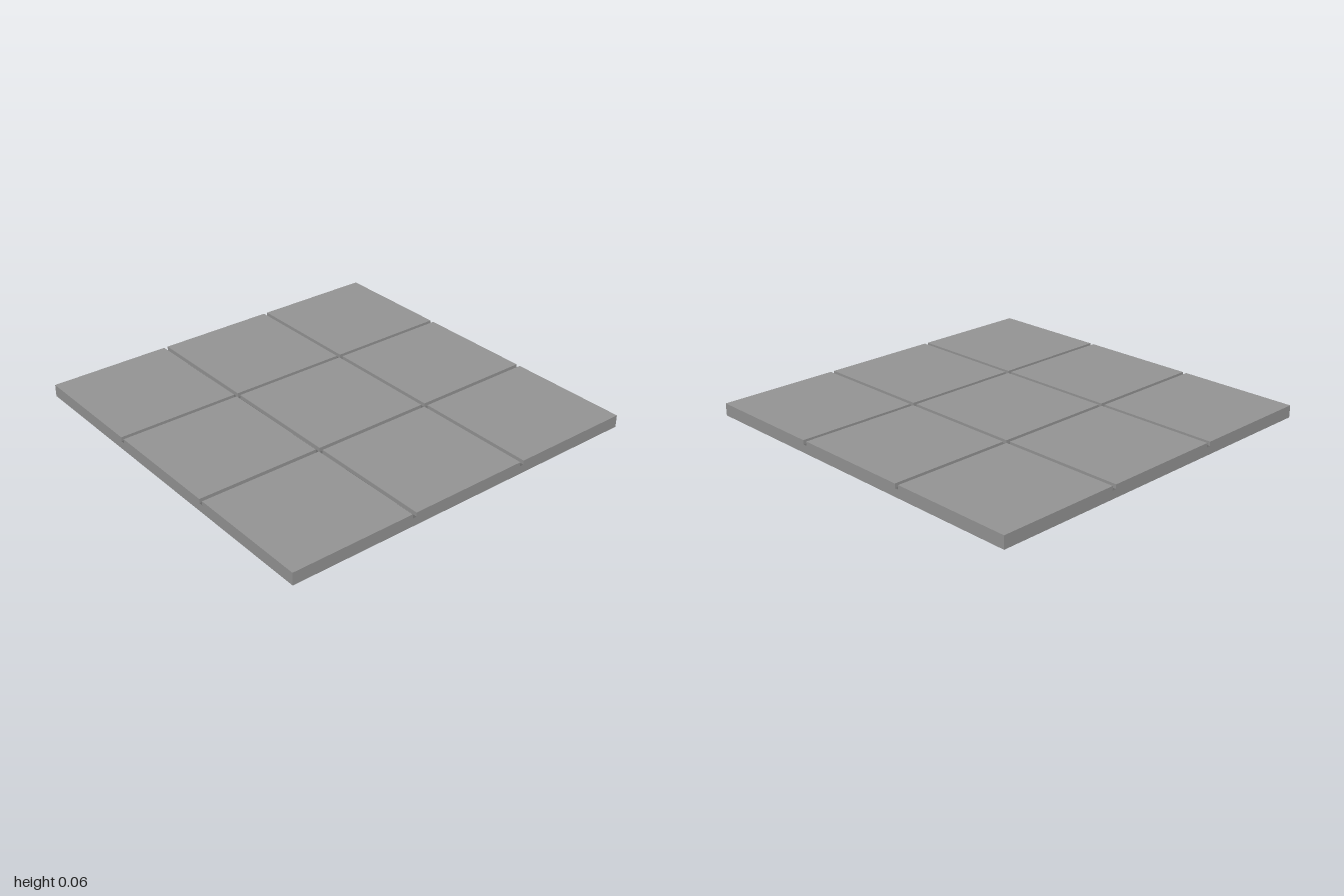
import * as THREE from 'three';

const HEIGHT = 0.065, GROOVE_FLOOR = 0.043;
const CENTRE = 1 / 3, HALF = 0.011;

// Grid lines along each axis; doubled lines make the upright groove walls
const A = CENTRE - HALF, B = CENTRE + HALF;
const LINES = [-1, -B, -B, -A, -A, A, A, B, B, 1];
const IN_GROOVE = new Set([2, 3, 6, 7]);

function partMesh(name, points, color) {
  const geometry = new THREE.BufferGeometry().setFromPoints(points);
  geometry.computeVertexNormals();
  const mesh = new THREE.Mesh(geometry, new THREE.MeshStandardMaterial({ color, flatShading: true }));
  mesh.name = name;
  return mesh;
}

export function createModel() {
  const group = new THREE.Group();
  group.name = 'tiledSlab';

  // One closed slab: snap the box grid to the lines and sink the groove vertices
  const p = new THREE.BoxGeometry(2, 2, 2, 9, 1, 9).toNonIndexed().attributes.position;
  for (let v = 0; v < p.count; v++) {
    const i = Math.round((p.getX(v) + 1) * 4.5);
    const j = Math.round((p.getZ(v) + 1) * 4.5);
    const top = IN_GROOVE.has(i) || IN_GROOVE.has(j) ? GROOVE_FLOOR : HEIGHT;
    p.setXYZ(v, LINES[i], p.getY(v) > 0 ? top : 0, LINES[j]);
  }

  // Skip collapsed triangles; part the dark groove floors from the slab
  const slab = [], grooves = [];
  const t = new THREE.Triangle();
  for (let v = 0; v < p.count; v += 3) {
    t.setFromAttributeAndIndices(p, v, v + 1, v + 2);
    if (t.getArea() < 1e-8) continue;
    const corners = [t.a.clone(), t.b.clone(), t.c.clone()];
    const isFloor = corners.every((c) => Math.abs(c.y - GROOVE_FLOOR) < 1e-4);
    (isFloor ? grooves : slab).push(...corners);
  }

  group.add(partMesh('slab', slab, 0x929292), partMesh('grooveFloors', grooves, 0x676767));
  return group;
}
